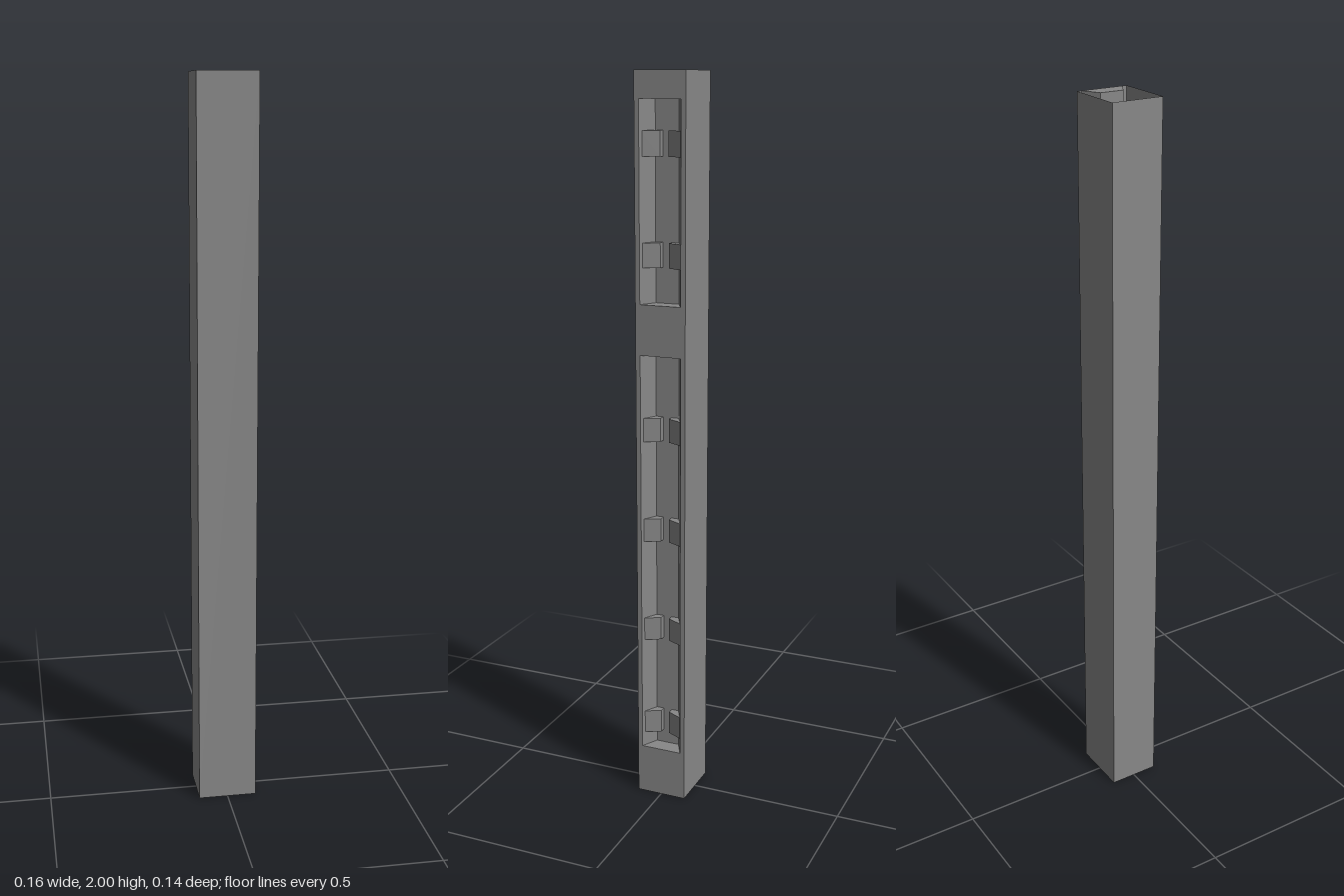
import * as THREE from 'three';

const W = 0.081, D = 0.071, H = 2;
const material = new THREE.MeshStandardMaterial({ color: 0x888888, side: THREE.DoubleSide, flatShading: true });

// Channel cross-section as [x, z], from the front lip round to the back lip
const channel = [[W, 0.058], [0.034, 0.033], [0.034, -0.033], [W, -0.058]];
// Wedge clip cross-section on the +z flank, sunk slightly through the channel wall
const clip = [[0.074, 0.057], [0.052, 0.012], [0.031, 0.012], [0.031, 0.034], [0.075, 0.058]];
const openings = [
  { y0: 0.14, y1: 1.275, clips: [0.213, 0.497, 0.787, 1.07] },
  { y0: 1.41, y1: 1.93, clips: [1.537, 1.82] },
];

// Shape whose drawing plane becomes x/z once laid flat
const planShape = (points) => new THREE.Shape(points.map(([x, z]) => new THREE.Vector2(x, -z)));

// Upright thin sheet following an open [x, z] path
function sheet(path, y0, y1) {
  const pos = [];
  for (let i = 0; i < path.length - 1; i++) {
    const [ax, az] = path[i], [bx, bz] = path[i + 1];
    pos.push(ax, y0, az, bx, y0, bz, bx, y1, bz, ax, y0, az, bx, y1, bz, ax, y1, az);
  }
  const g = new THREE.BufferGeometry();
  g.setAttribute('position', new THREE.Float32BufferAttribute(pos, 3));
  g.computeVertexNormals();
  return g;
}

// Horizontal plate
function plate(points, y) {
  return new THREE.ShapeGeometry(planShape(points)).rotateX(-Math.PI / 2).translate(0, y, 0);
}

function add(parent, name, geometry) {
  const mesh = new THREE.Mesh(geometry, material);
  mesh.name = name;
  parent.add(mesh);
}

export function createModel() {
  const group = new THREE.Group();
  group.name = 'slottedPost';

  // Open-topped thin tube: back, closed side and front, plus the floor
  const walls = [[W, -D], [-W, -D], [-W, D], [W, D]];
  add(group, 'outerWalls', sheet(walls, 0, H));
  add(group, 'bottomPlate', plate(walls, 0));

  // Slotted side with an opening for each recess
  const face = new THREE.Shape([[-D, 0], [D, 0], [D, H], [-D, H]].map(([x, y]) => new THREE.Vector2(x, y)));
  for (const { y0, y1 } of openings) {
    const z = channel[0][1];
    face.holes.push(new THREE.Path([[-z, y0], [-z, y1], [z, y1], [z, y0]].map(([x, y]) => new THREE.Vector2(x, y))));
  }
  add(group, 'slottedWall', new THREE.ShapeGeometry(face).rotateY(Math.PI / 2).translate(W, 0, 0));

  // Full-height channel behind the slotted side, capped flush with the rim
  add(group, 'channelWall', sheet(channel, 0, H));
  add(group, 'channelCap', plate(channel, H));

  // Recess ends and mirrored pairs of clips
  for (const { y0, y1, clips } of openings) {
    const recess = new THREE.Group();
    recess.name = 'recess';
    add(recess, 'recessBottom', plate(channel, y0));
    add(recess, 'recessTop', plate(channel, y1));
    for (const y of clips) {
      for (const s of [1, -1]) {
        const g = new THREE.ExtrudeGeometry(planShape(clip.map(([x, z]) => [x, s * z])), { depth: 0.065, bevelEnabled: false });
        add(recess, s > 0 ? 'frontClip' : 'backClip', g.rotateX(-Math.PI / 2).translate(0, y - 0.0325, 0));
      }
    }
    group.add(recess);
  }
  return group;
}
